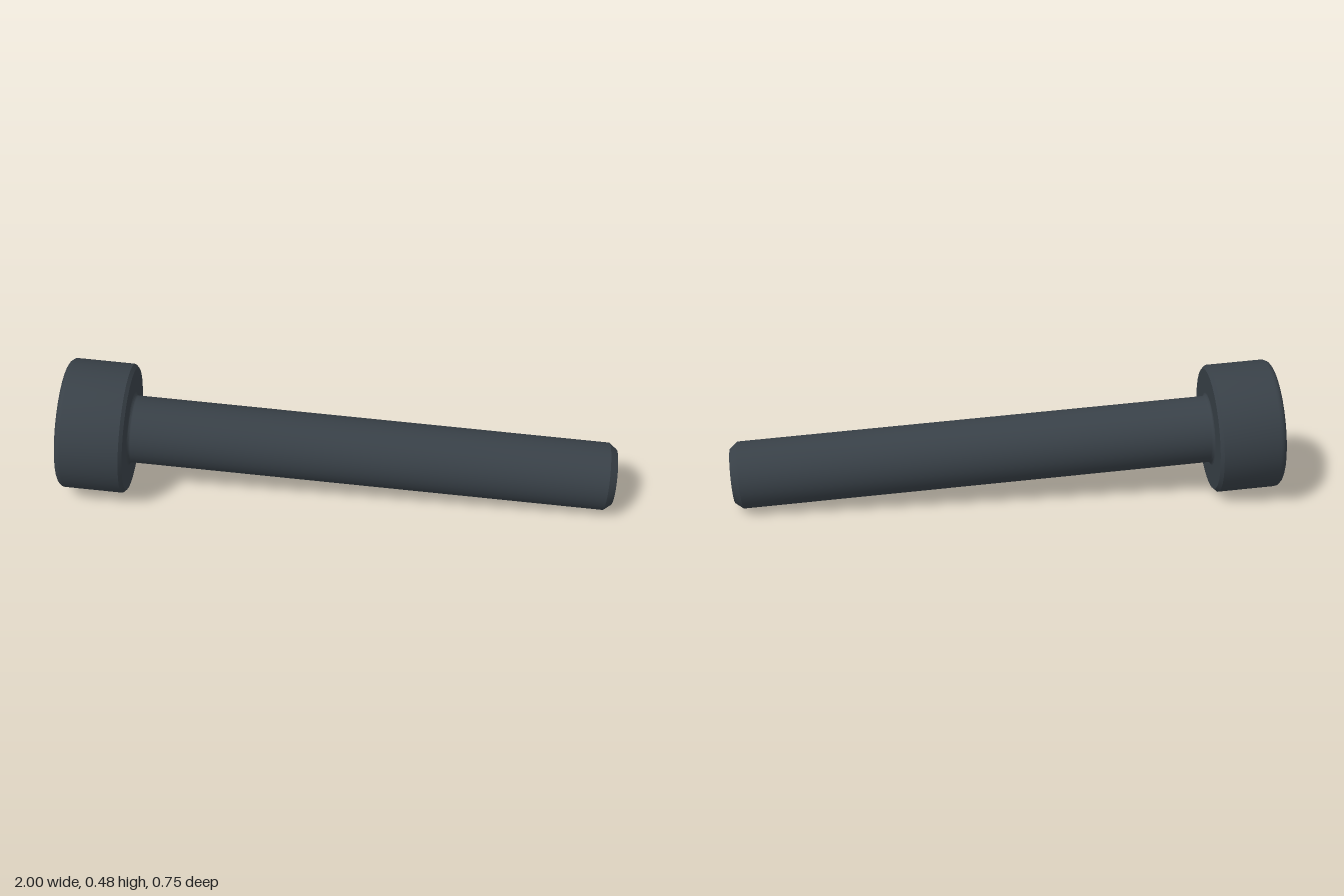
import * as THREE from 'three';
import { toCreasedNormals } from 'three/addons/utils/BufferGeometryUtils.js';

const SIDES = 32;
const SHANK_R = 0.1215, SHANK_L = 1.736;
const HEAD_R = 0.234, HEAD_H = 0.241, ROUND = 0.024;
const HEX_R = 0.105, HEX_DEPTH = 0.12;

// Points of a regular polygon, first corner pointing along +y
function ring(radius, n) {
  return Array.from({ length: n }, (_, i) => {
    const a = Math.PI / 2 + (i / n) * Math.PI * 2;
    return new THREE.Vector2(Math.cos(a) * radius, Math.sin(a) * radius);
  });
}

// Quarter arc points around a centre
function arc(cx, cy, r, from, to, n = 5) {
  return Array.from({ length: n + 1 }, (_, i) => {
    const a = from + (to - from) * (i / n);
    return new THREE.Vector2(cx + r * Math.cos(a), cy + r * Math.sin(a));
  });
}

function turned(points) {
  return toCreasedNormals(new THREE.LatheGeometry(points, SIDES), 0.5);
}

export function createModel() {
  const model = new THREE.Group();
  model.name = 'socketHeadScrew';
  const steel = new THREE.MeshStandardMaterial({ color: 0x384047 });
  steel.name = 'black steel';

  const add = (name, geometry, y = 0) => {
    const mesh = new THREE.Mesh(geometry, steel);
    mesh.name = name;
    mesh.position.y = y;
    model.add(mesh);
  };
  const v = (x, y) => new THREE.Vector2(x, y);

  // Shank with chamfered tip and a small fillet under the head
  const f = 0.012;
  add('shank', turned([
    v(0, -SHANK_L), v(0.0995, -SHANK_L), v(SHANK_R, -SHANK_L + 0.028),
    ...arc(SHANK_R + f, -f, f, Math.PI, Math.PI / 2, 4),
  ]));

  // Head: flat underside, chamfered lower rim, rounded upper rim
  add('head', turned([
    v(SHANK_R, 0), v(HEAD_R - 0.012, 0), v(HEAD_R, 0.012),
    ...arc(HEAD_R - ROUND, HEAD_H - ROUND, ROUND, 0, Math.PI / 2),
  ]));

  // Top face with the hexagonal opening
  const face = new THREE.Shape(ring(HEAD_R - ROUND, SIDES));
  face.holes.push(new THREE.Path(ring(HEX_R, 6).reverse()));
  add('headFace', new THREE.ShapeGeometry(face).rotateX(-Math.PI / 2), HEAD_H);

  // Hex socket: inward-facing walls and a floor
  const walls = new THREE.CylinderGeometry(HEX_R, HEX_R, HEX_DEPTH, 6, 1, true);
  walls.index.array.reverse();
  const flatWalls = walls.toNonIndexed();
  flatWalls.computeVertexNormals();
  add('socketWalls', flatWalls, HEAD_H - HEX_DEPTH / 2);
  add('socketFloor', new THREE.CircleGeometry(HEX_R, 6, Math.PI / 2).rotateX(-Math.PI / 2), HEAD_H - HEX_DEPTH);

  // Lay the screw down along its slanted axis
  const toTip = new THREE.Vector3(1, -0.0645, 0.2134).normalize();
  const axis = toTip.clone().negate();
  const up = new THREE.Vector3(0, 1, 0);
  up.addScaledVector(axis, -up.dot(axis)).normalize();
  const side = new THREE.Vector3().crossVectors(axis, up);
  model.quaternion.setFromRotationMatrix(new THREE.Matrix4().makeBasis(side, axis, up));
  model.position.set(0.979, 0.124, 0.26).addScaledVector(toTip, -SHANK_L);

  const root = new THREE.Group();
  root.name = 'screw';
  root.add(model);
  return root;
}
